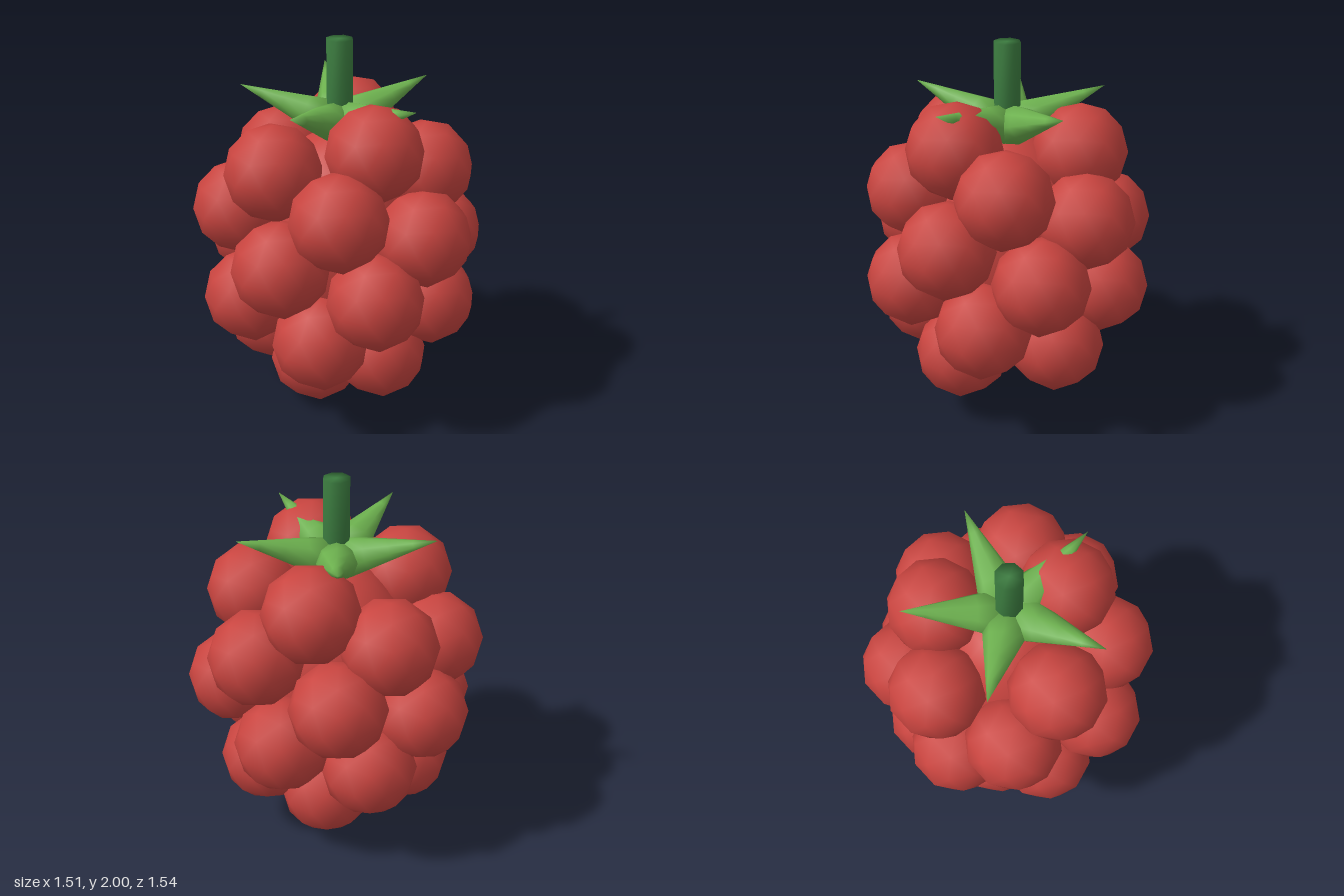
import * as THREE from 'three';
import { mergeVertices } from 'three/addons/utils/BufferGeometryUtils.js';

// Share vertices so that shading runs smoothly over every edge
function smooth(geometry) {
  geometry.deleteAttribute('uv');
  geometry.deleteAttribute('normal');
  const merged = mergeVertices(geometry, 1e-4);
  merged.computeVertexNormals();
  return merged;
}

export function createModel() {
  const berryRed = new THREE.MeshStandardMaterial({ name: 'berryRed', color: 0xc8443f });
  const leafGreen = new THREE.MeshStandardMaterial({ name: 'leafGreen', color: 0x6cb04e });
  const stemGreen = new THREE.MeshStandardMaterial({ name: 'stemGreen', color: 0x3c7d40 });

  const model = new THREE.Group();
  model.name = 'berry';
  const axis = new THREE.Group();
  axis.name = 'berryParts';
  axis.position.set(-0.012, 0, -0.008);
  model.add(axis);

  function add(name, geometry, material, parent = axis) {
    const mesh = new THREE.Mesh(geometry, material);
    mesh.name = name;
    parent.add(mesh);
    return mesh;
  }

  // Low-poly ball with a vertex at its pole
  const ball = new THREE.IcosahedronGeometry(0.25, 1);
  ball.rotateX(-Math.atan((1 + Math.sqrt(5)) / 2));
  ball.rotateY(Math.PI / 2);
  const drupelet = smooth(ball);

  // Drupelets follow a golden-angle spiral down an ellipsoid
  const drupelets = new THREE.Group();
  drupelets.name = 'drupelets';
  axis.add(drupelets);
  const golden = Math.PI * (3 - Math.sqrt(5));
  for (let k = 0; k < 24; k++) {
    const level = 0.8 - 0.0758 * k;
    const radius = 0.54 * Math.sqrt(1 - level * level);
    const angle = 0.085 + golden * k;
    add('drupelet', drupelet, berryRed, drupelets).position.set(
      radius * Math.sin(angle), 1.495 - 0.0541 * k, radius * Math.cos(angle));
  }

  // Core closing the gaps between drupelets
  const core = add('core', new THREE.SphereGeometry(1, 20, 14), berryRed);
  core.scale.set(0.43, 0.6, 0.43);
  core.position.y = 0.92;

  // Five pointed sepals rising outwards from the stem
  const base = new THREE.Vector3(0.06, 1.58, 0);
  const tip = new THREE.Vector3(0.515, 1.74, 0);
  const length = base.distanceTo(tip);
  const cone = new THREE.ConeGeometry(0.125, length, 8, 4);
  cone.translate(0, length / 2, 0);
  cone.scale(0.85, 1, 1);
  cone.rotateZ(Math.atan2(tip.y - base.y, tip.x - base.x) - Math.PI / 2);
  cone.translate(base.x, base.y, 0);
  const sepal = smooth(cone);
  const sepals = new THREE.Group();
  sepals.name = 'sepals';
  axis.add(sepals);
  for (let i = 0; i < 5; i++) {
    add('sepal', sepal, leafGreen, sepals).rotation.y = (i * 2 * Math.PI) / 5;
  }

  // Stem
  const stem = add('stem', smooth(new THREE.CylinderGeometry(0.07, 0.07, 0.5, 8)), stemGreen);
  stem.position.y = 1.75;

  return model;
}
